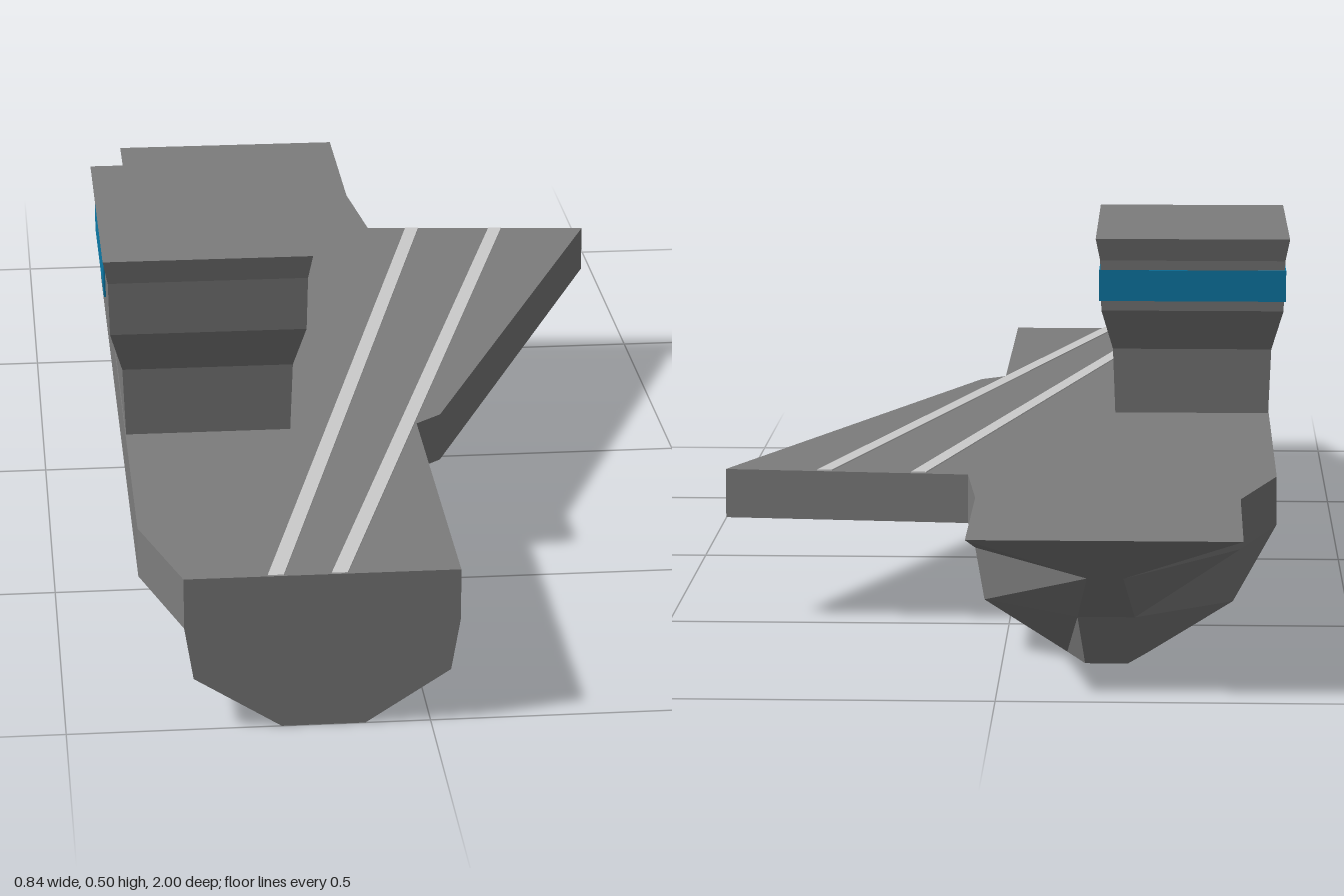
import * as THREE from 'three';

const paint = (color) => new THREE.MeshStandardMaterial({ color, flatShading: true });
const hullGrey = paint(0x7d7d7d);
const lineGrey = paint(0xcccccc);
const glassBlue = paint(0x0c7aa8);

// Skin through equal-sized closed rings of [x, y, z], with both ends closed.
function loft(rings) {
  const pos = [];
  const n = rings[0].length;
  const quad = (a, b, c, d) => pos.push(...a, ...b, ...c, ...a, ...c, ...d);
  for (let r = 0; r < rings.length - 1; r++) {
    const A = rings[r], B = rings[r + 1];
    for (let i = 0; i < n; i++) {
      const j = (i + 1) % n;
      quad(A[i], B[i], B[j], A[j]);
    }
  }
  const first = rings[0], last = rings[rings.length - 1];
  for (let k = 0; k < n / 2 - 1; k++) {
    quad(first[k], first[k + 1], first[n - 2 - k], first[n - 1 - k]);
    quad(last[n - 1 - k], last[n - 2 - k], last[k + 1], last[k]);
  }
  const g = new THREE.BufferGeometry();
  g.setAttribute('position', new THREE.Float32BufferAttribute(pos, 3));
  g.computeVertexNormals();
  return g;
}

// Flat plan outline of [x, z] raised from y0 to y1.
function slab(outline, y0, y1) {
  const shape = new THREE.Shape(outline.map(([x, z]) => new THREE.Vector2(x, -z)));
  const g = new THREE.ExtrudeGeometry(shape, { depth: y1 - y0, bevelEnabled: false });
  return g.rotateX(-Math.PI / 2).translate(0, y0, 0);
}

export function createModel() {
  const model = new THREE.Group();
  model.name = 'carrierShip';
  const add = (name, geometry, material) => {
    const mesh = new THREE.Mesh(geometry, material);
    mesh.name = name;
    model.add(mesh);
  };

  const deckY = 0.222;
  const ledgeY = 0.15;

  // Hull: stations run along z with the deck edge bulging on one side
  const station = (z, left, right) => [
    [left, deckY, z], [left, ledgeY, z], [-0.325, 0.075, z], [-0.205, 0, z],
    [-0.09, 0, z], [0.028, 0.075, z], [right, ledgeY, z], [right, deckY, z],
  ];
  // Raked bow: wide flat deck edge over a narrow stem [half width, y, z]
  const stem = [[0.1875, deckY, -1], [0.025, ledgeY, -0.9], [0.04, 0.075, -0.8], [0.03, 0, -0.76]];
  const side = (s) => stem.map(([w, y, z]) => [-0.147 + s * w, y, z]);
  add('hull', loft([
    station(1, -0.337, 0.041),
    station(0.81, -0.39, 0.041),
    station(0.435, -0.39, 0.041),
    station(-0.5, -0.39, 0.06),
    station(-0.685, -0.335, 0.041),
    [...side(-1), ...side(1).reverse()],
  ]), hullGrey);

  // Overhanging side deck
  add('angledDeck', slab(
    [[0.041, 0.435], [0.08, 0.4], [0.418, -0.466], [0.06, -0.5]], ledgeY, deckY), hullGrey);

  // Two runway lines crossing the deck at an angle
  for (const [x0, x1, z1] of [[-0.212, 0.133, -0.49], [-0.125, 0.272, -0.477]]) {
    const w = 0.011;
    add('runwayLine', slab(
      [[x0 - w, 1], [x0 + w, 1], [x1 + w, z1], [x1 - w, z1]], deckY, deckY + 0.002), lineGrey);
  }

  // Control tower: rectangular rings from roof to deck [y, x0, x1, z0, z1]
  const tower = [
    [0.505, -0.42, -0.116, 0.018, 0.486],
    [0.47, -0.413, -0.123, 0.026, 0.48],
    [0.39, -0.411, -0.125, 0.032, 0.475],
    [0.325, -0.393, -0.143, 0.062, 0.445],
    [deckY, -0.389, -0.147, 0.068, 0.44],
  ];
  add('controlTower', loft(tower.map(([y, x0, x1, z0, z1]) =>
    [[x0, y, z1], [x1, y, z1], [x1, y, z0], [x0, y, z0]])), hullGrey);

  // Window band wrapping three sides of the tower
  add('towerWindows', slab(
    [[-0.4145, 0.35], [-0.1215, 0.35], [-0.1215, 0.025], [-0.4145, 0.025]], 0.406, 0.455), glassBlue);

  return model;
}
